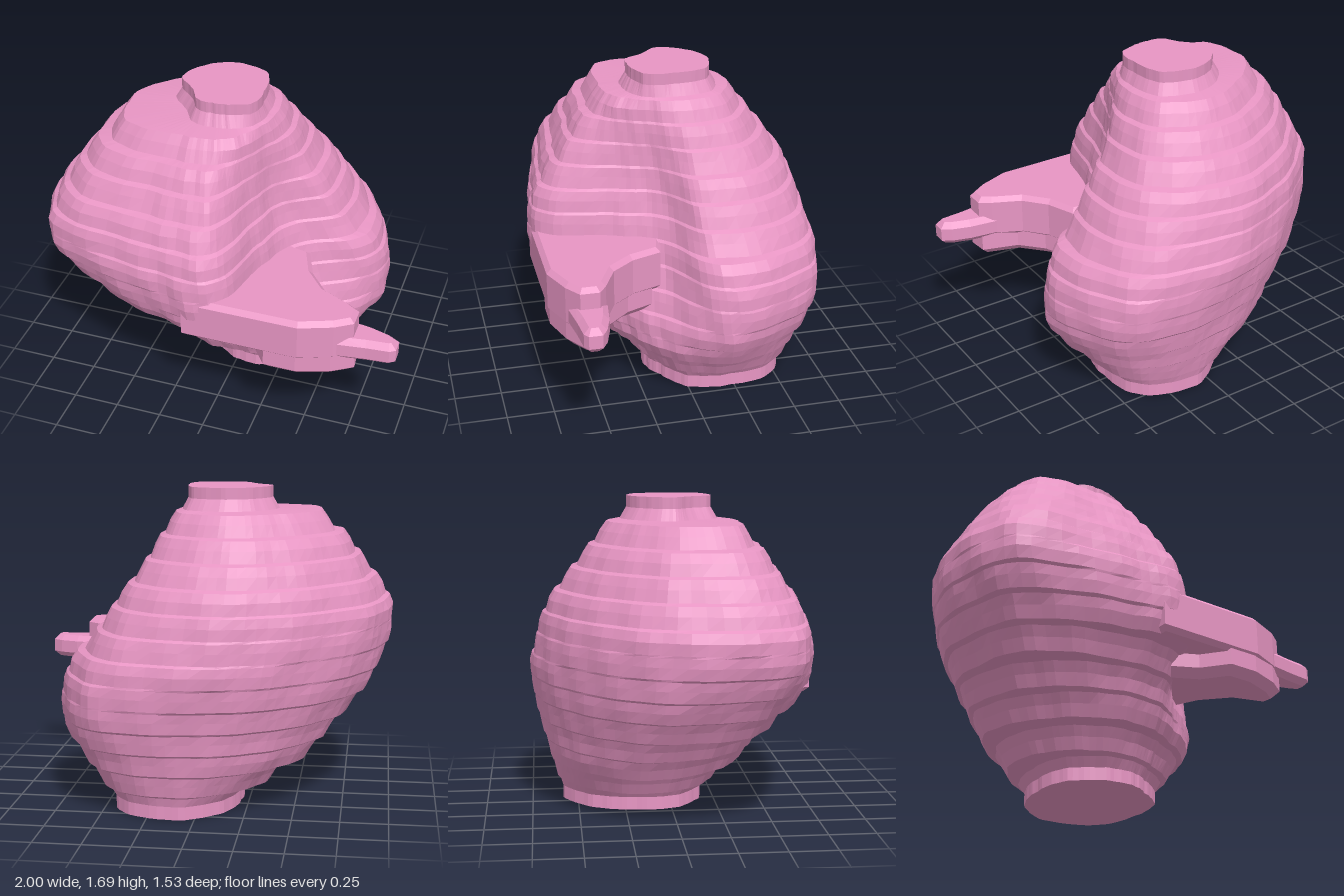
import * as THREE from 'three';

const material = new THREE.MeshStandardMaterial({ color: 0xe896c4, flatShading: true, side: THREE.DoubleSide });
const STEP = 0.12, BASE = 0.01, SEGMENTS = 84;

// directions of the outline's control points, from +x round towards +z
const ANGLES = [0, 35, 65, 85, 110, 145, 180, 220, 265, 315].map(THREE.MathUtils.degToRad);

// outline radii of each terrace, bottom to top
const TERRACES = [
  [.34, .36, .35, .38, .39, .38, .33, .34, .38, .39],
  [.47, .46, .43, .45, .48, .50, .50, .45, .44, .49],
  [.60, .55, .53, .57, .61, .63, .66, .54, .49, .57],
  [.69, .55, .54, .62, .67, .74, .74, .58, .53, .66],
  [.71, .50, .53, .70, .76, .89, .82, .63, .57, .72],
  [.71, .45, .54, .84, .87, .98, .89, .67, .61, .74],
  [.68, .41, .51, .85, .89, 1.06, .92, .69, .64, .73],
  [.57, .37, .49, .83, .88, 1.10, .93, .70, .63, .68],
  [.51, .33, .46, .79, .83, 1.08, .92, .69, .62, .62],
  [.45, .31, .42, .70, .76, .99, .84, .65, .59, .56],
  [.38, .30, .40, .61, .65, .87, .75, .58, .52, .48],
  [.34, .30, .38, .51, .55, .74, .66, .50, .44, .41],
  [.29, .29, .36, .39, .42, .58, .53, .39, .36, .34],
  [.22, .25, .22, .21, .21, .17, .23, .22, .23, .25],
];

// closed, slightly rippled outline of one terrace; its centre drifts with height
function outline(radii, i) {
  const t = i / (TERRACES.length - 1);
  const cx = 0.12 - 0.24 * t, cz = -0.2 + 0.2 * t;
  const points = radii.map((r, k) => new THREE.Vector3(cx + r * Math.cos(ANGLES[k]), 0, cz + r * Math.sin(ANGLES[k])));
  const curve = new THREE.CatmullRomCurve3(points, true, 'centripetal');
  return Array.from({ length: SEGMENTS }, (_, j) => {
    const p = curve.getPoint(j / SEGMENTS);
    const a = (j / SEGMENTS) * Math.PI * 2;
    const ripple = 1 + 0.007 * Math.sin(13 * a + i * 0.8) + 0.006 * Math.sin(23 * a - i * 1.7);
    return new THREE.Vector3(cx + (p.x - cx) * ripple, 0, cz + (p.z - cz) * ripple);
  });
}

// move a point part of the way to its neighbour, by a limited distance
function lean(p, q) {
  const offset = q.clone().sub(p).multiplyScalar(0.32).clampLength(0, 0.035);
  return p.clone().add(offset);
}

// each terrace gets three rings, leaning towards its neighbours at its edges
function bodyGeometry() {
  const outlines = TERRACES.map(outline);
  const rings = [];
  const addRing = (from, to, y) => rings.push(from.map((p, j) => lean(p, to[j]).setY(y)));
  outlines.forEach((o, i) => {
    const y = BASE + i * STEP;
    addRing(o, outlines[i - 1] ?? o, y);
    addRing(o, o, y + STEP * 0.5);
    addRing(o, outlines[i + 1] ?? o, y + STEP - 0.012);
  });
  rings[0].forEach((p) => { p.y = 0; });
  rings.at(-1).forEach((p) => { p.y = BASE + TERRACES.length * STEP; });

  const vertices = rings.flat();
  const index = [];
  for (let i = 0; i < rings.length - 1; i++) {
    for (let j = 0; j < SEGMENTS; j++) {
      const k = (j + 1) % SEGMENTS;
      const a = i * SEGMENTS + j, b = i * SEGMENTS + k;
      index.push(a, a + SEGMENTS, b, b, a + SEGMENTS, b + SEGMENTS);
    }
  }
  // flat caps
  const addCap = (ring, start, top) => {
    const centre = ring.reduce((s, p) => s.add(p), new THREE.Vector3()).divideScalar(SEGMENTS);
    const c = vertices.push(centre) - 1;
    for (let j = 0; j < SEGMENTS; j++) {
      const a = start + j, b = start + (j + 1) % SEGMENTS;
      index.push(c, top ? b : a, top ? a : b);
    }
  };
  addCap(rings[0], 0, false);
  addCap(rings.at(-1), (rings.length - 1) * SEGMENTS, true);

  const geometry = new THREE.BufferGeometry().setFromPoints(vertices);
  geometry.setIndex(index);
  geometry.computeVertexNormals();
  return geometry;
}

// bevelled horizontal slab from an (x, z) outline
function slab(name, points, y0, y1, bevel) {
  const shape = new THREE.Shape(points.map(([x, z]) => new THREE.Vector2(x, z)));
  const geometry = new THREE.ExtrudeGeometry(shape, {
    depth: y1 - y0 - 2 * bevel, bevelThickness: bevel, bevelSize: bevel, bevelOffset: -bevel, bevelSegments: 1,
  });
  geometry.rotateX(Math.PI / 2).translate(0, y1 - bevel, 0);
  const mesh = new THREE.Mesh(geometry, material);
  mesh.name = name;
  return mesh;
}

export function createModel() {
  const model = new THREE.Group();
  model.name = 'terracedOrgan';

  const body = new THREE.Mesh(bodyGeometry(), material);
  body.name = 'body';
  model.add(body);

  // side outlet that narrows into a spout
  const outlet = new THREE.Group();
  outlet.name = 'outlet';
  outlet.add(
    slab('outletLower', [[0, .2], [.42, .2], [.48, .34], [.59, .46], [.78, .52], [.79, .63], [.68, .7], [.51, .755], [.34, .755], [.24, .62], [0, .5]], .49, .74, .045),
    slab('outletUpper', [[-.1, .5], [.2, .1], [.41, .15], [.47, .31], [.57, .43], [.72, .5], [.78, .54], [.78, .64], [.69, .7], [.52, .765], [-.1, .765]], .61, .85, .025),
    slab('spoutTip', [[.7, .49], [.85, .51], [.95, .54], [1, .57], [1, .64], [.97, .66], [.85, .67], [.7, .69]], .61, .74, .03),
  );
  model.add(outlet);

  return model;
}
